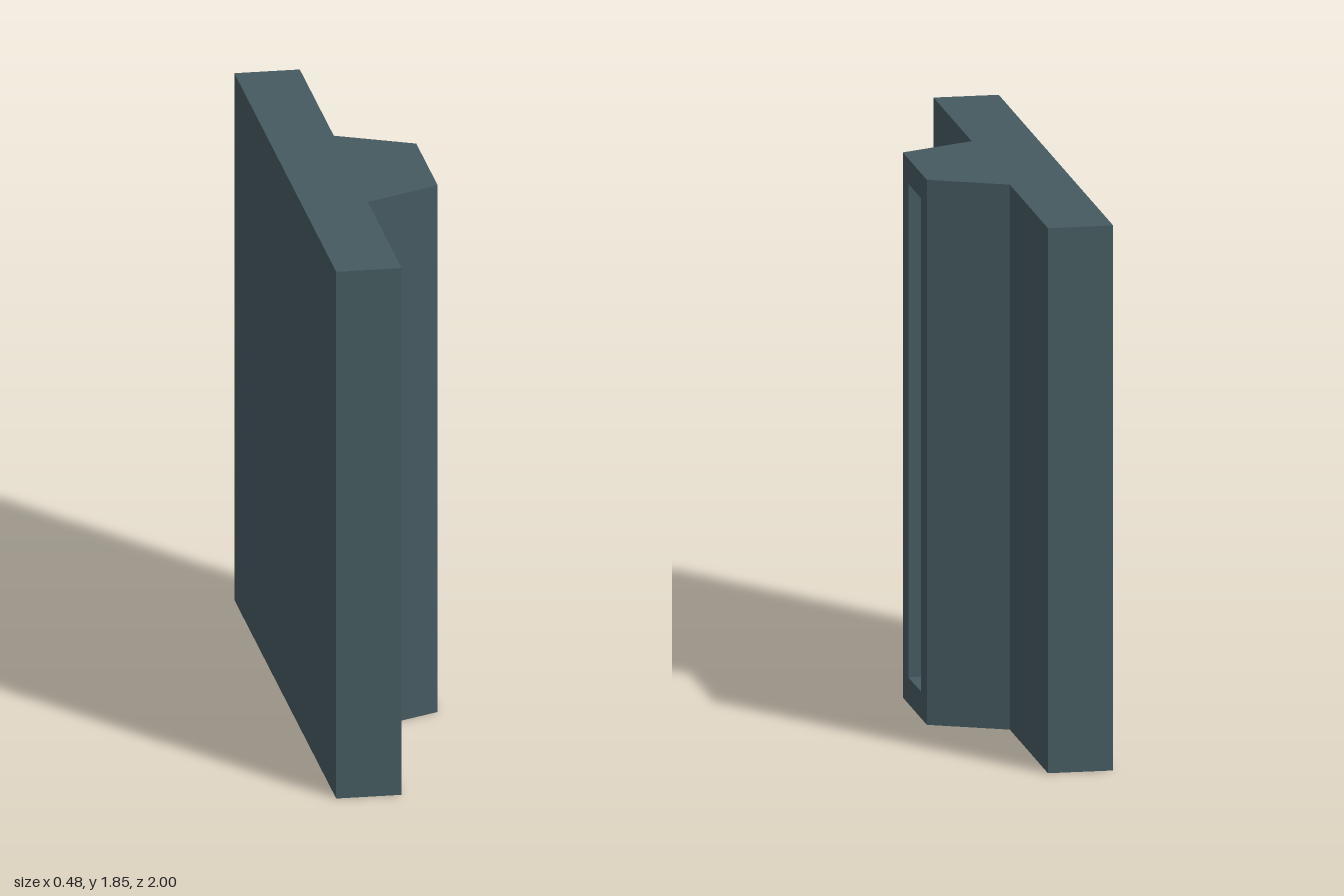
import * as THREE from 'three';

const HEIGHT = 1.85, BACK = -0.238, STEP = -0.018, FRONT = 0.238;
const SLOT = { half: 0.11, bottom: 0.09, top: 1.765, depth: 0.12 };

// Drops every triangle lying in the plane x = value, leaving that side open
function openSide(geometry, value) {
  const p = geometry.attributes.position, kept = [];
  for (let i = 0; i < p.count; i += 3) {
    const inPlane = [0, 1, 2].every(k => Math.abs(p.getX(i + k) - value) < 1e-5);
    if (!inPlane) for (let k = 0; k < 3; k++) kept.push(p.getX(i + k), p.getY(i + k), p.getZ(i + k));
  }
  const open = new THREE.BufferGeometry();
  open.setAttribute('position', new THREE.Float32BufferAttribute(kept, 3));
  open.computeVertexNormals();
  return open;
}

export function createModel() {
  const model = new THREE.Group();
  model.name = 'slottedPanel';
  const slate = new THREE.MeshStandardMaterial({ color: 0x455a60 });
  slate.name = 'slate';
  const add = (name, geometry) => {
    const mesh = new THREE.Mesh(geometry, slate);
    mesh.name = name;
    model.add(mesh);
  };

  // Flat panel with a tapered rib, extruded upwards and open at the rib's face
  const profile = new THREE.Shape([
    [BACK, -1], [STEP, -1], [STEP, -0.333], [FRONT, -0.21],
    [FRONT, 0.21], [STEP, 0.333], [STEP, 1], [BACK, 1],
  ].map(([x, z]) => new THREE.Vector2(x, z)));
  const body = new THREE.ExtrudeGeometry(profile, { depth: HEIGHT, bevelEnabled: false });
  body.rotateX(-Math.PI / 2);
  add('panelAndRib', openSide(body, FRONT));

  // Rib face with the slot cut out
  const rect = (w, y0, y1) => [[-w, y0], [w, y0], [w, y1], [-w, y1]]
    .map(([u, v]) => new THREE.Vector2(u, v));
  const face = new THREE.Shape(rect(0.21, 0, HEIGHT));
  face.holes.push(new THREE.Path(rect(SLOT.half, SLOT.bottom, SLOT.top)));
  add('ribFace', new THREE.ShapeGeometry(face).rotateY(Math.PI / 2).translate(FRONT, 0, 0));

  // Recess: an inward-facing box without its outer side
  const recess = new THREE.BoxGeometry(SLOT.depth, SLOT.top - SLOT.bottom, SLOT.half * 2);
  recess.translate(FRONT - SLOT.depth / 2, (SLOT.top + SLOT.bottom) / 2, 0);
  recess.setIndex(Array.from(recess.index.array).reverse());
  recess.computeVertexNormals();
  add('slotRecess', openSide(recess.toNonIndexed(), FRONT));

  return model;
}
